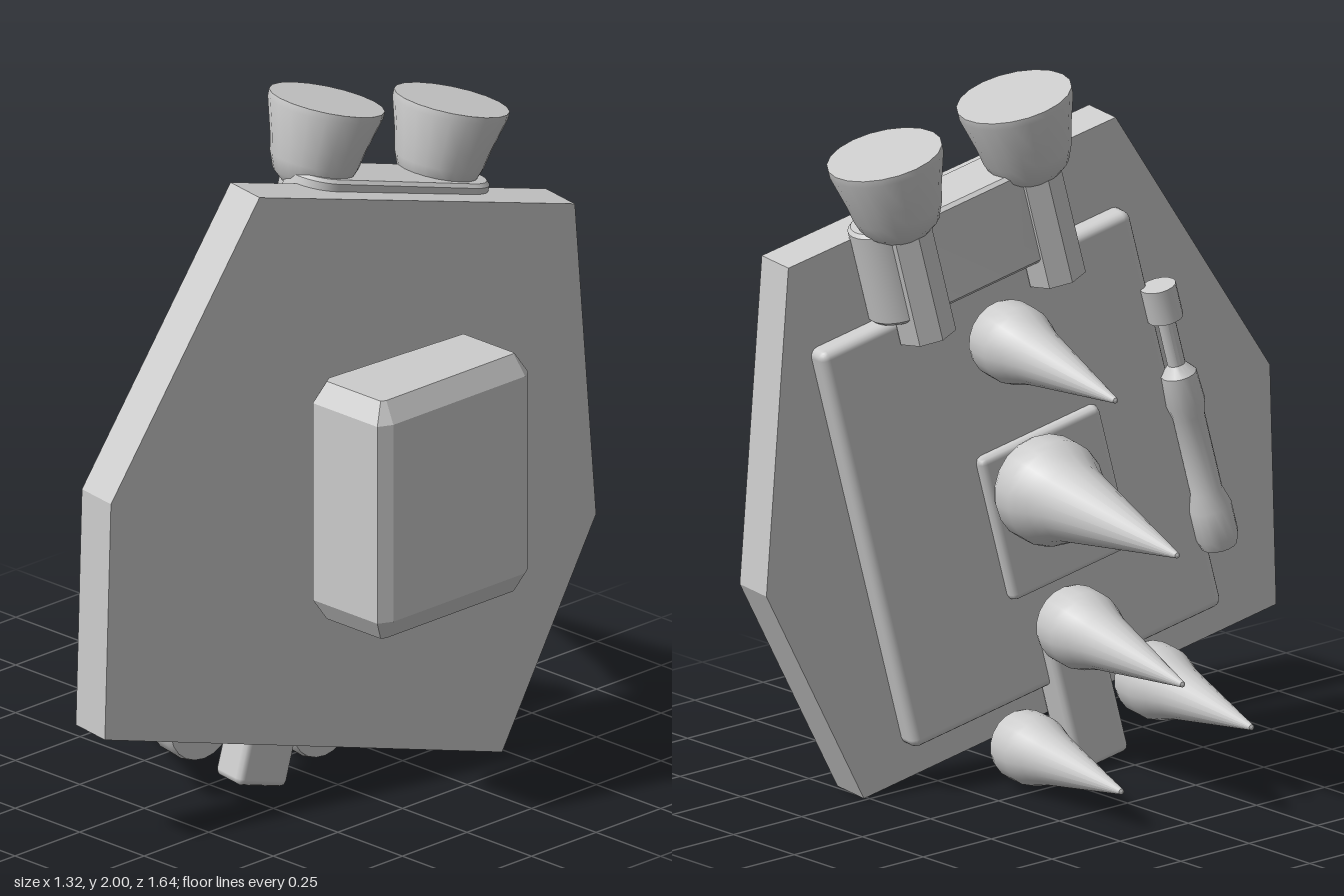
import * as THREE from 'three';
import { toCreasedNormals } from 'three/addons/utils/BufferGeometryUtils.js';
import { RoundedBoxGeometry } from 'three/addons/geometries/RoundedBoxGeometry.js';

const grey = new THREE.MeshStandardMaterial({ color: 0xcccccc });
grey.name = 'grey';

const YAW = -0.171;   // turn of the plate about the vertical
const ROLL = -0.25;   // lean of the fittings within the plate

export function createModel() {
  const model = new THREE.Group();

  const add = (name, geometry, x = 0, y = 0, z = 0, roll = 0, yaw = 0) => {
    const mesh = new THREE.Mesh(geometry, grey);
    mesh.name = name;
    mesh.position.set(x, y, z);
    mesh.rotation.set(roll, yaw, 0, 'YXZ');
    model.add(mesh);
    return mesh;
  };
  // part leaning with the plate
  const fit = (name, geometry, x, y, z) => add(name, geometry, x, y, z, ROLL, YAW);

  const lathe = (points, sides) => toCreasedNormals(
    new THREE.LatheGeometry(points.map(([r, y]) => new THREE.Vector2(r, y)), sides), 0.6);

  // six-sided armour plate, outline given as z, y
  const outline = [[0.81, 0.34], [0.79, 1.03], [0.30, 1.82], [-0.74, 1.56], [-0.81, 0.63], [-0.50, 0]];
  const plateShape = new THREE.Shape(
    outline.map(([z, y]) => new THREE.Vector2(-(z - 0.011) / 0.985, y)));
  const plate = new THREE.ExtrudeGeometry(plateShape, { depth: 0.138, bevelEnabled: false });
  plate.rotateY(Math.PI / 2);
  add('armourPlate', plate, 0.173, 0, 0, 0, YAW);

  // upright chamfered box on the outer side, cross-section given as x, z
  const section = [[0.39, 0.237], [0.64, 0.237], [0.66, 0.195], [0.66, -0.315], [0.64, -0.346],
    [0.41, -0.346], [0.39, -0.32], [0.36, 0.19]];
  const box = new THREE.ExtrudeGeometry(
    new THREE.Shape(section.map(([x, z]) => new THREE.Vector2(x, -z))),
    { depth: 0.58, bevelThickness: 0.06, bevelSize: 0.035, bevelOffset: -0.035, bevelSegments: 1 });
  box.rotateX(-Math.PI / 2);
  add('outerBox', box, 0, 0.65, 0);

  // layered panels on the inner side
  fit('innerPanel', new RoundedBoxGeometry(0.10, 1.22, 1.03, 2, 0.025), 0.17, 0.85, -0.045);
  fit('smallPanel', new RoundedBoxGeometry(0.08, 0.44, 0.40, 1, 0.02), 0.115, 0.775, 0.04);

  // round-ended mount across the top edge
  const mountShape = new THREE.Shape();
  mountShape.absarc(0, 0.235, 0.095, 0, Math.PI);
  mountShape.absarc(0, -0.235, 0.095, Math.PI, Math.PI * 2);
  const mount = new THREE.ExtrudeGeometry(mountShape,
    { depth: 0.26, curveSegments: 8, bevelThickness: 0.01, bevelSize: 0.01, bevelOffset: -0.01, bevelSegments: 1 });
  mount.rotateX(-Math.PI / 2);
  mount.translate(0, -0.13, 0);
  fit('topMount', toCreasedNormals(mount, 0.6), 0.185, 1.58, -0.22);

  // block under the bottom edge
  fit('bottomBlock', new RoundedBoxGeometry(0.12, 0.40, 0.17, 1, 0.02), 0.10, 0.21, 0.133);

  // two flared cups on eight-sided necks
  const cup = lathe([[0, -0.24], [0.08, -0.24], [0.108, -0.215], [0.125, -0.17], [0.135, -0.12],
    [0.162, -0.02], [0.162, 0], [0, 0]], 20);
  const neck = new THREE.CylinderGeometry(0.085, 0.085, 0.34, 8);
  neck.translate(0, -0.38, 0);
  for (const [x, y, z] of [[0.12, 1.957, -0.087], [0.19, 1.86, -0.50]]) {
    fit('cup', cup, x, y, z);
    fit('cupNeck', toCreasedNormals(neck, 0.3), x, y, z);
  }

  // stepped piston beside the panel
  fit('piston', lathe([[0, 0], [0.05, 0], [0.06, 0.03], [0.06, 0.12], [0.045, 0.17], [0.045, 0.40],
    [0.055, 0.44], [0.05, 0.53], [0.025, 0.56], [0.025, 0.70], [0.05, 0.70], [0.05, 0.80], [0, 0.80]], 16),
  -0.005, 0.57, 0.555);

  // flared spikes on short round stubs: base, tip, radius
  const spikes = [
    [[0.09, 1.293, -0.16], [-0.49, 1.26, -0.255], 0.112],
    [[0.06, 0.85, -0.05], [-0.66, 0.84, -0.18], 0.152],
    [[0.07, 0.432, 0.07], [-0.525, 0.41, -0.04], 0.112],
    [[0.07, 0.22, 0.35], [-0.50, 0.225, 0.235], 0.105],
    [[0.10, 0.11, -0.085], [-0.43, 0.11, -0.18], 0.10],
  ];
  const up = new THREE.Vector3(0, 1, 0);
  for (const [base, tip, r] of spikes) {
    const axis = new THREE.Vector3(...tip).sub(new THREE.Vector3(...base));
    const length = axis.length();
    const geometry = lathe([[0, 0], [r * 0.94, 0], [r, 0.02], [r, 0.085], [r * 0.95, 0.11],
      [r * 0.84, 0.145], [r * 0.73, 0.19], [0.008, length - 0.004], [0, length]], 20);
    add('spike', geometry, ...base).quaternion.setFromUnitVectors(up, axis.normalize());
  }

  return model;
}
